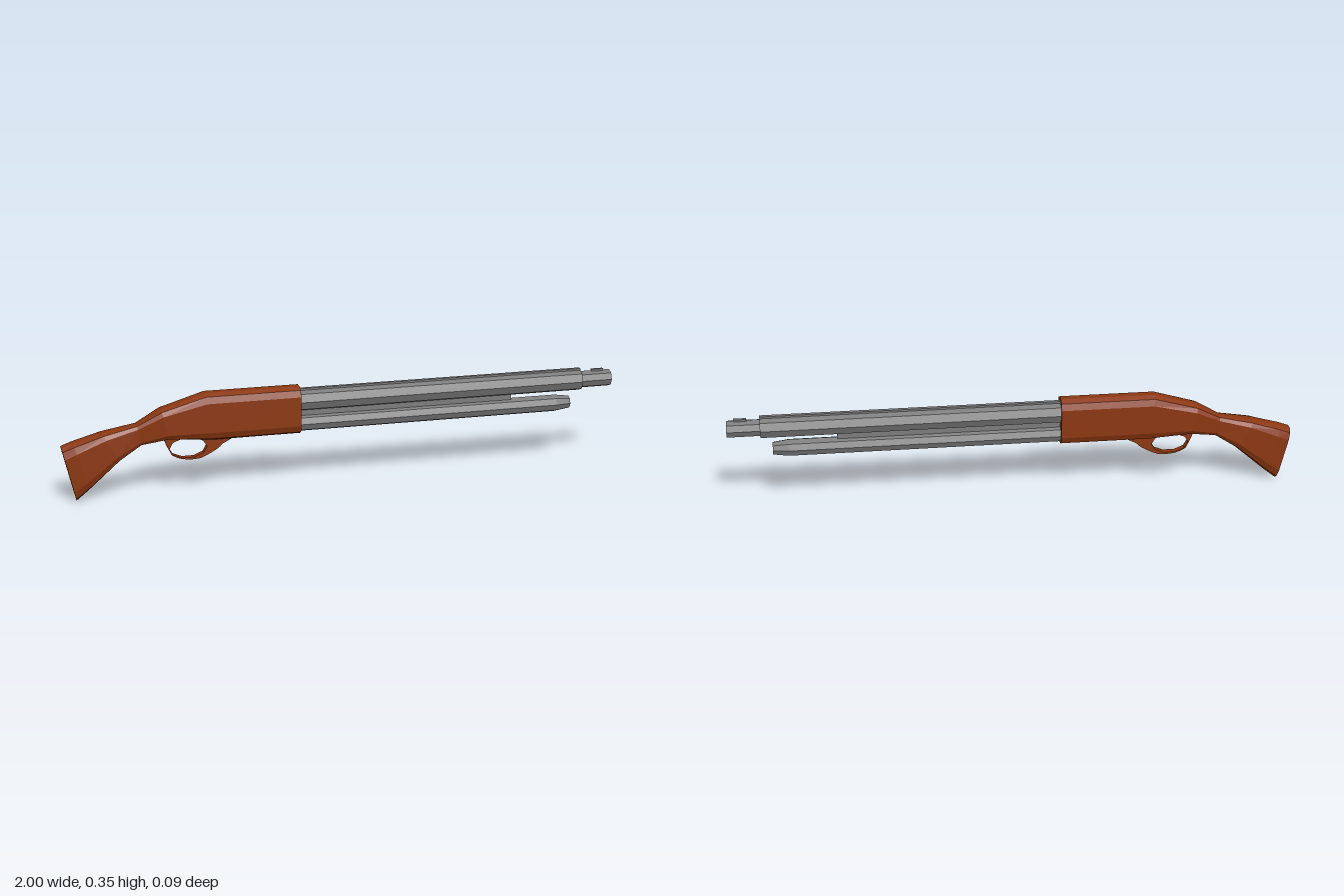
import * as THREE from 'three';

const wood = new THREE.MeshStandardMaterial({ color: 0x8b3710, flatShading: true, side: THREE.DoubleSide });
const steel = new THREE.MeshStandardMaterial({ color: 0x7c7c7c, flatShading: true, side: THREE.DoubleSide });

// Half of the chamfered cross-section: [height fraction, width fraction], bottom to top
const HALF = [[0, 0.33], [0.055, 0.79], [0.19, 1], [0.81, 1], [0.945, 0.79], [1, 0.33]];

// Loft chamfered sections; station = [topX, topY, bottomX, bottomY, halfWidth]
function loft(stations) {
  const n = HALF.length * 2, pos = [], idx = [];
  for (const [tx, ty, bx, by, w] of stations) {
    const ring = [...HALF, ...HALF.map(([v, f]) => [v, -f]).reverse()];
    for (const [v, f] of ring) pos.push(bx + (tx - bx) * v, by + (ty - by) * v, f * w);
  }
  for (let s = 0; s < stations.length - 1; s++) {
    for (let k = 0; k < n; k++) {
      const a = s * n + k, b = s * n + (k + 1) % n;
      idx.push(a, a + n, b + n, a, b + n, b);
    }
  }
  const last = (stations.length - 1) * n;
  for (let k = 1; k < n - 1; k++) {
    idx.push(0, k, k + 1);
    idx.push(last, last + k + 1, last + k);
  }
  const g = new THREE.BufferGeometry();
  g.setAttribute('position', new THREE.Float32BufferAttribute(pos, 3));
  g.setIndex(idx);
  g.computeVertexNormals();
  return g;
}

// Hollow eight-sided tube along x; profile = [radius, x]
function tube(profile, y) {
  const g = new THREE.LatheGeometry(profile.map(([r, x]) => new THREE.Vector2(r, x)), 8);
  g.rotateZ(-Math.PI / 2);
  g.translate(0, y, 0);
  return g;
}

function box(x0, x1, y0, y1, depth) {
  const g = new THREE.BoxGeometry(x1 - x0, y1 - y0, depth);
  g.translate((x0 + x1) / 2, (y0 + y1) / 2, 0);
  return g;
}

export function createModel() {
  const model = new THREE.Group();
  const add = (name, geometry, material) => {
    const mesh = new THREE.Mesh(geometry, material);
    mesh.name = name;
    model.add(mesh);
  };

  // Stock, from the slanted butt to the thin grip
  add('stock', loft([
    [-1, 0.193, -0.955, 0, 0.039],
    [-0.96, 0.207, -0.91, 0.037, 0.043],
    [-0.86, 0.235, -0.8, 0.133, 0.042],
    [-0.74, 0.257, -0.725, 0.181, 0.029],
    [-0.655, 0.305, -0.63, 0.195, 0.043],
  ]), wood);

  // Receiver
  add('receiver', loft([
    [-0.655, 0.305, -0.63, 0.195, 0.043],
    [-0.5, 0.352, -0.48, 0.182, 0.043],
    [-0.165, 0.352, -0.165, 0.182, 0.043],
  ]), wood);

  // Trigger guard with its opening
  const guard = new THREE.Shape();
  guard.moveTo(-0.65, 0.205);
  guard.lineTo(-0.635, 0.165);
  guard.lineTo(-0.62, 0.135);
  guard.quadraticCurveTo(-0.58, 0.108, -0.52, 0.117);
  guard.quadraticCurveTo(-0.46, 0.14, -0.44, 0.164);
  guard.lineTo(-0.39, 0.19);
  guard.lineTo(-0.39, 0.205);
  guard.closePath();
  const opening = new THREE.Path();
  opening.absellipse(-0.562, 0.158, 0.066, 0.037, 0, Math.PI * 2, true);
  guard.holes.push(opening);
  const guardGeo = new THREE.ExtrudeGeometry(guard, { depth: 0.022, bevelEnabled: false, curveSegments: 5 });
  guardGeo.translate(0, 0, -0.011);
  add('triggerGuard', guardGeo, wood);

  // Barrel stepping down to the muzzle, with a bore
  add('barrel', tube([
    [0.039, -0.18], [0.039, 0.885], [0.031, 0.885], [0.031, 1], [0.022, 1], [0.022, -0.18],
  ], 0.298), steel);
  add('barrelRib', box(-0.18, 0.885, 0.325, 0.341, 0.014), steel);
  add('frontSight', box(0.93, 0.975, 0.322, 0.334, 0.012), steel);

  // Magazine tube with a tapered end
  add('magazineTube', tube([
    [0.031, -0.18], [0.031, 0.79], [0.023, 0.845], [0.017, 0.845], [0.017, -0.18],
  ], 0.216), steel);
  add('tubeBridge', box(-0.18, 0.62, 0.238, 0.268, 0.018), steel);

  return model;
}
